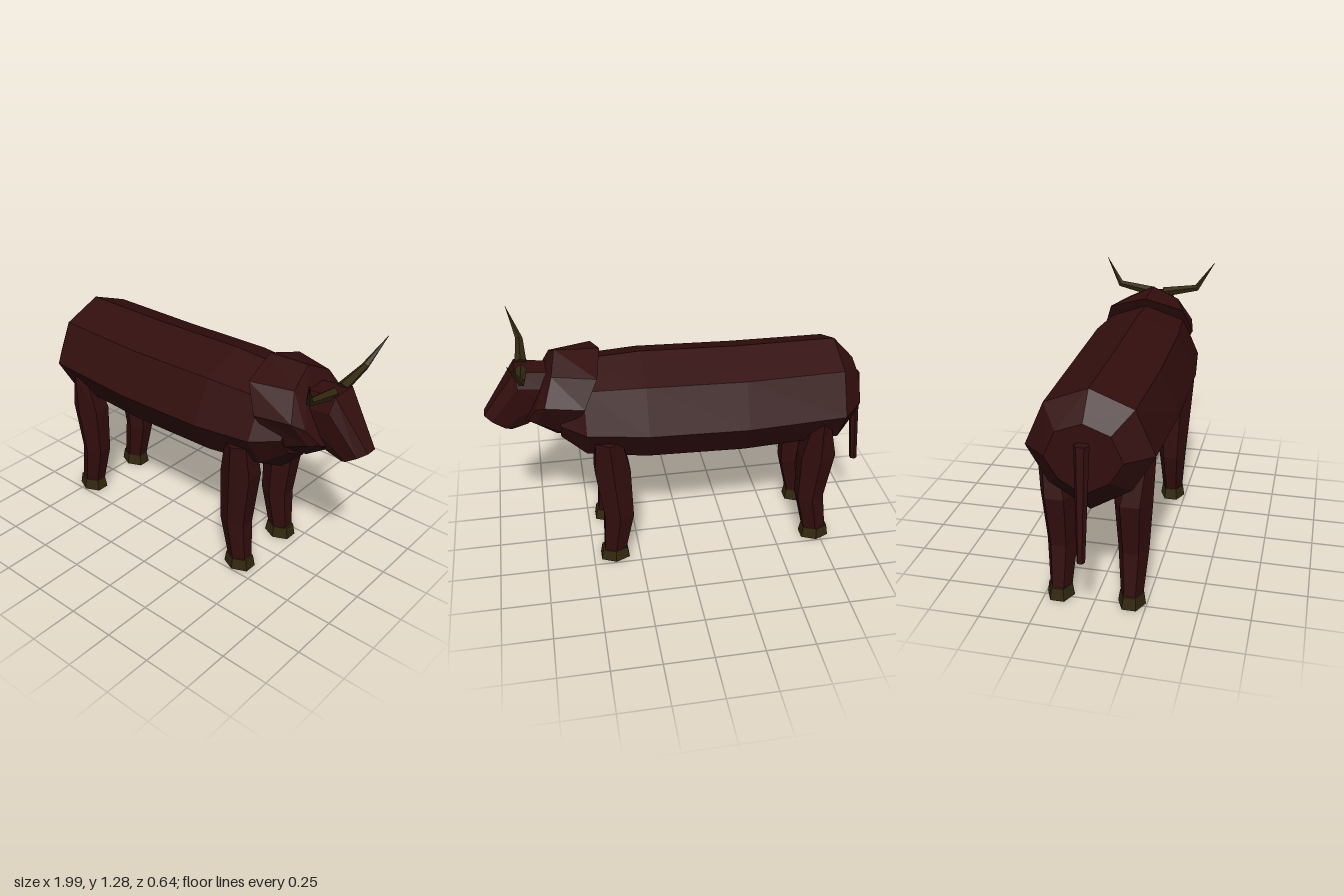
import * as THREE from 'three';

const hide = new THREE.MeshStandardMaterial({ color: 0x330e0e, flatShading: true });
hide.name = 'dark red hide';
const horn = new THREE.MeshStandardMaterial({ color: 0x33270f, flatShading: true });
horn.name = 'dark horn';

// Skin a list of equal-length rings and cap both ends; faces are turned outward.
function loft(name, rings, material) {
  const tris = [];
  const n = rings[0].length;
  for (let i = 0; i < rings.length - 1; i++) {
    for (let j = 0; j < n; j++) {
      const k = (j + 1) % n;
      const [a, b, c, d] = [rings[i][j], rings[i][k], rings[i + 1][k], rings[i + 1][j]];
      tris.push([a, b, c], [a, c, d]);
    }
  }
  const cap = (ring, flip) => {
    const mid = ring.reduce((s, p) => s.add(p), new THREE.Vector3()).divideScalar(n);
    ring.forEach((p, j) => {
      const q = ring[(j + 1) % n];
      tris.push(flip ? [mid, q, p] : [mid, p, q]);
    });
  };
  cap(rings[0], true);
  cap(rings[rings.length - 1], false);
  const volume = tris.reduce((s, [a, b, c]) => s + a.dot(b.clone().cross(c)), 0);
  const points = tris.flatMap(([a, b, c]) => (volume < 0 ? [a, c, b] : [a, b, c]));
  const geometry = new THREE.BufferGeometry().setFromPoints(points);
  geometry.computeVertexNormals();
  const mesh = new THREE.Mesh(geometry, material);
  mesh.name = name;
  return mesh;
}

// Symmetric ring from a top to a bottom point (x, y); profile holds [share of height, half width].
function section([tx, ty], [bx, by], profile) {
  const side = profile.map(([t, z]) => new THREE.Vector3(tx + (bx - tx) * t, ty + (by - ty) * t, z));
  const mirror = side.filter(p => p.z > 0).reverse().map(p => new THREE.Vector3(p.x, p.y, -p.z));
  return [...side, ...mirror];
}

// Horizontal six-sided ring between two x and two z limits.
function hexRing(y, x0, x1, z0, z1, side = 1) {
  return Array.from({ length: 6 }, (_, i) => {
    const a = (i * Math.PI) / 3;
    return new THREE.Vector3(
      (x0 + x1) / 2 + (Math.sin(a) / 0.866) * (x1 - x0) / 2,
      y,
      side * ((z0 + z1) / 2 + Math.cos(a) * (z1 - z0) / 2));
  });
}

export function createModel() {
  const model = new THREE.Group();
  model.name = 'bull';

  // Barrel body: x, top, bottom, half width
  const body = [
    [-0.91, 1.0, 0.66, 0.18],
    [-0.8, 1.12, 0.53, 0.3],
    [-0.3, 1.12, 0.51, 0.318],
    [0.2, 1.135, 0.525, 0.318],
    [0.5, 1.12, 0.57, 0.283],
    [0.62, 1.02, 0.69, 0.19],
  ].map(([x, top, bottom, w]) => section([x, top], [x, bottom],
    [[0, 0], [0.14, w * 0.69], [0.5, w], [0.8, w * 0.65], [1, 0]]));
  model.add(loft('body', body, hide));

  // Neck with raised hump
  model.add(loft('neck', [
    section([0.4, 1.17], [0.64, 0.7], [[0, 0], [0.13, 0.2], [0.42, 0.25], [0.8, 0.16], [1, 0]]),
    section([0.62, 1.18], [0.76, 0.78], [[0, 0], [0.18, 0.14], [0.5, 0.215], [0.82, 0.14], [1, 0]]),
    section([0.67, 1.09], [0.8, 0.8], [[0, 0], [0.15, 0.1], [0.5, 0.165], [0.82, 0.1], [1, 0]]),
  ], hide));

  // Head, tapering down to the muzzle
  model.add(loft('head', [
    section([0.66, 1.09], [0.68, 0.87], [[0, 0.06], [0.35, 0.09], [0.8, 0.08], [1, 0.04]]),
    section([0.82, 1.11], [0.78, 0.8], [[0, 0.07], [0.25, 0.1], [0.75, 0.08], [1, 0.045]]),
    section([0.99, 0.86], [0.86, 0.77], [[0, 0.03], [0.3, 0.058], [0.75, 0.058], [1, 0.035]]),
  ], hide));

  // Tail
  model.add(loft('tail', [
    hexRing(0.91, -0.955, -0.905, -0.036, 0.036),
    hexRing(0.36, -1.0, -0.965, -0.02, 0.02),
  ], hide));

  // Leg rings: y, x limits, z limits
  const legs = {
    front: [
      [0.77, 0.33, 0.46, 0.12, 0.285],
      [0.58, 0.29, 0.47, 0.085, 0.272],
      [0.28, 0.28, 0.43, 0.1, 0.25],
      [0.06, 0.325, 0.44, 0.12, 0.232],
    ],
    rear: [
      [0.77, -0.74, -0.65, 0.14, 0.28],
      [0.55, -0.79, -0.61, 0.085, 0.27],
      [0.28, -0.75, -0.61, 0.1, 0.25],
      [0.06, -0.78, -0.66, 0.12, 0.232],
    ],
  };
  const hoofX = { front: [0.31, 0.46], rear: [-0.8, -0.65] };

  for (const side of [1, -1]) {
    const label = side > 0 ? 'Left' : 'Right';
    for (const [end, rings] of Object.entries(legs)) {
      const [x0, x1] = hoofX[end];
      model.add(loft(`${end}${label}Leg`, rings.map(r => hexRing(...r, side)), hide));
      model.add(loft(`${end}${label}Hoof`, [
        hexRing(0.062, x0 + 0.01, x1 - 0.01, 0.118, 0.236, side),
        hexRing(0, x0, x1, 0.108, 0.245, side),
      ], horn));
    }

    // Horn: outward from the poll, then up to a point; x, y, z, radius
    const hornRings = [
      [0.785, 1.105, 0.04, 0.03],
      [0.785, 1.14, 0.225, 0.019],
      [0.84, 1.28, 0.318, 0.001],
    ].map(([x, y, z, r]) => Array.from({ length: 5 }, (_, i) => {
      const a = (i * Math.PI * 2) / 5;
      return new THREE.Vector3(x + r * Math.sin(a), y + r * 0.85 * Math.cos(a),
        side * (z - r * 0.5 * Math.cos(a)));
    }));
    model.add(loft(`horn${label}`, hornRings, horn));
  }
  return model;
}
